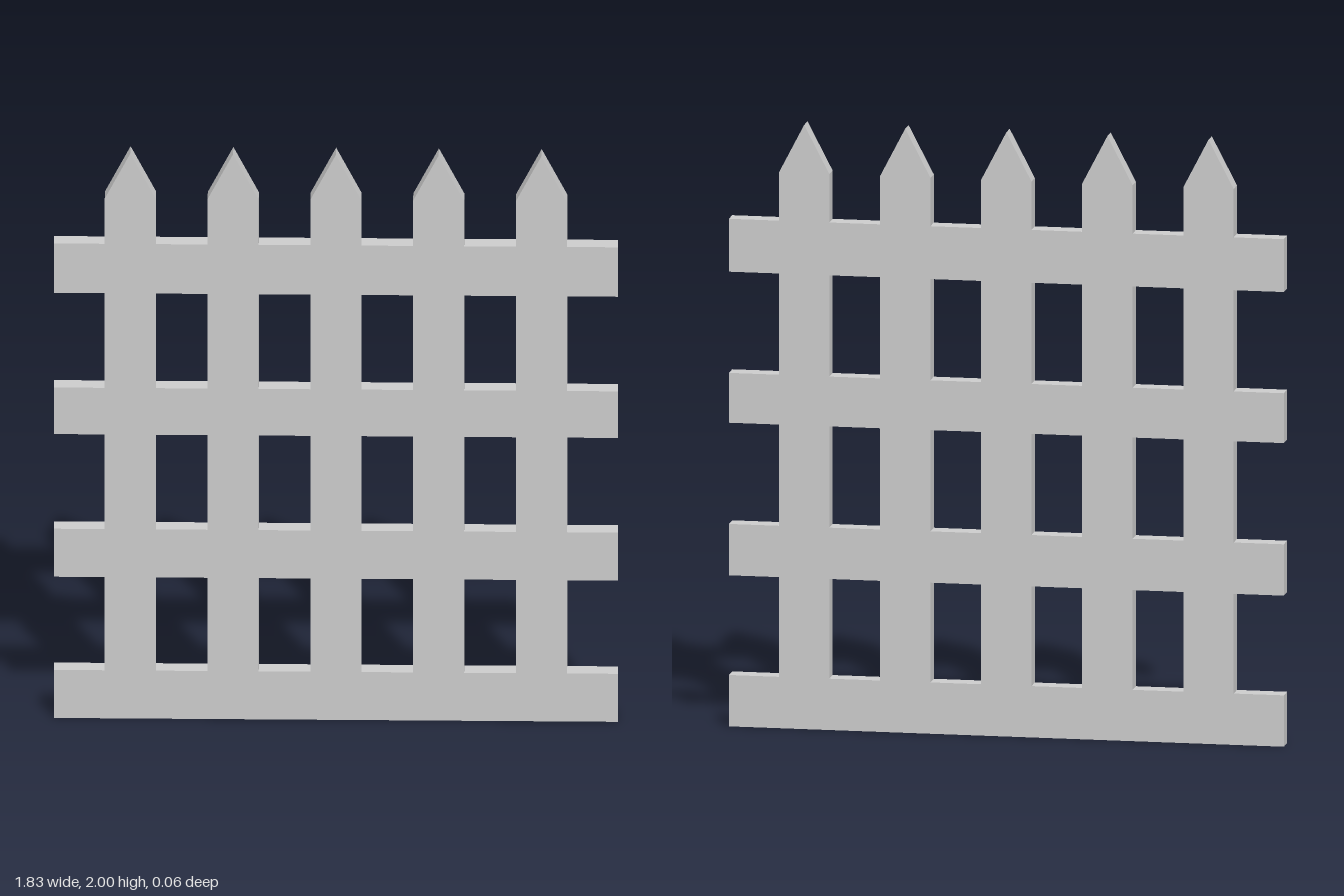
import * as THREE from 'three';

export function createModel() {
  const group = new THREE.Group();
  group.name = 'portcullis';

  const depth = 0.06;
  const railEnd = 0.915;   // half length of the rails
  const half = 0.083;      // half width of a picket
  const shoulder = 1.84;   // where the picket points begin
  const tip = 2;
  const pickets = [-2, -1, 0, 1, 2].map((i) => i / 3);
  const rails = [[0, 0.17], [0.5, 0.67], [1.005, 1.17], [1.505, 1.68]]; // bottom, top
  const last = rails.length - 1;
  const outer = pickets[pickets.length - 1] + half;
  const railTop = rails[last][1];

  // Stepped side edge made by the rail ends, from bottom to top
  const side = [];
  rails.forEach(([y0, y1], i) => {
    if (i > 0) side.push([outer, y0]);
    side.push([railEnd, y0], [railEnd, y1]);
    if (i < last) side.push([outer, y1]);
  });

  // Pointed picket tops, from +x to -x
  const top = [];
  for (const x of [...pickets].reverse()) {
    top.push([x + half, railTop], [x + half, shoulder], [x, tip],
      [x - half, shoulder], [x - half, railTop]);
  }

  const mirrored = side.map(([x, y]) => [-x, y]).reverse();
  const outline = [...side, ...top, ...mirrored].map(([x, y]) => new THREE.Vector2(x, y));
  const shape = new THREE.Shape(outline);

  // Openings between neighbouring pickets and rails
  for (let c = 0; c < pickets.length - 1; c++) {
    for (let r = 0; r < last; r++) {
      const x0 = pickets[c] + half, x1 = pickets[c + 1] - half;
      const y0 = rails[r][1], y1 = rails[r + 1][0];
      shape.holes.push(new THREE.Path([
        new THREE.Vector2(x0, y0), new THREE.Vector2(x0, y1),
        new THREE.Vector2(x1, y1), new THREE.Vector2(x1, y0),
      ]));
    }
  }

  // Flush lattice of pickets and rails
  const geometry = new THREE.ExtrudeGeometry(shape, { depth, bevelEnabled: false });
  geometry.translate(0, 0, -depth / 2);
  const lattice = new THREE.Mesh(
    geometry,
    new THREE.MeshStandardMaterial({ color: 0xcccccc, flatShading: true }),
  );
  lattice.name = 'picketLattice';
  group.add(lattice);
  return group;
}
